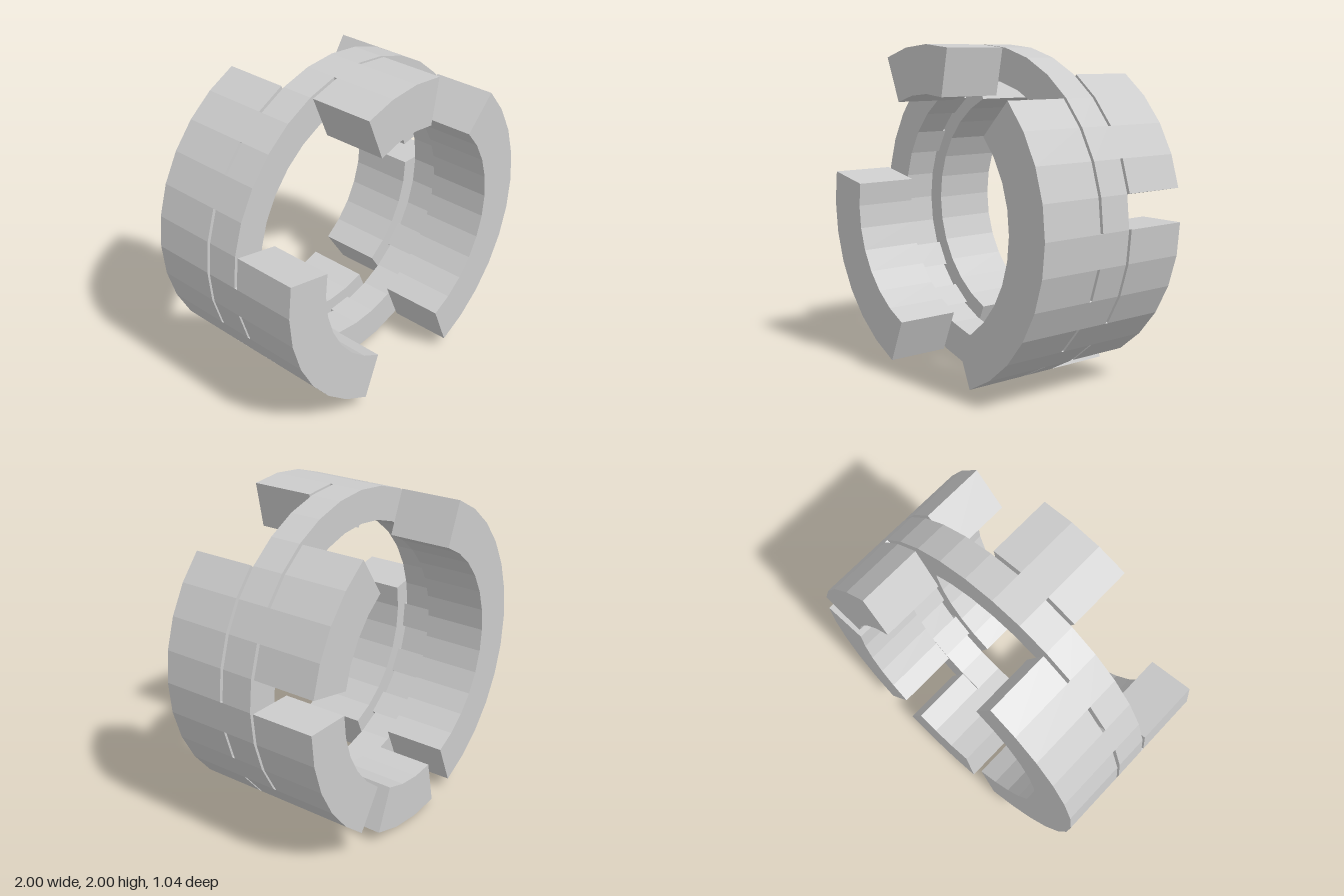
import * as THREE from 'three';

const STEP = Math.PI / 16;            // 32-sided rings
const OUTER = 1, RING_IN = 0.8, BLOCK_IN = 0.72;
const RING_Z = 0.1, GAP_Z = 0.12, BLOCK_Z = 0.52;

// Points along a faceted arc, angles counted in steps from +x
function arc(r, from, to) {
  const pts = [];
  for (let i = from; i <= to; i++) {
    pts.push(new THREE.Vector2(r * Math.cos(i * STEP), r * Math.sin(i * STEP)));
  }
  return pts;
}

function extrude(name, shape, z0, z1, material) {
  const geometry = new THREE.ExtrudeGeometry(shape, { depth: z1 - z0, bevelEnabled: false });
  geometry.translate(0, 1, z0);
  const mesh = new THREE.Mesh(geometry, material);
  mesh.name = name;
  return mesh;
}

// Curved block covering a number of steps
function sector(name, inner, start, count, z0, z1, material) {
  const pts = [...arc(OUTER, start, start + count), ...arc(inner, start, start + count).reverse()];
  return extrude(name, new THREE.Shape(pts), z0, z1, material);
}

// side: 1 front, -1 back; bridges: steps of the block that join it to the ring
const BLOCKS = [
  { name: 'frontTopBlock', side: 1, start: 7, count: 3, bridges: [1] },
  { name: 'frontRightBlock', side: 1, start: 15, count: 7, bridges: [1, 3, 5] },
  { name: 'frontLeftBlock', side: 1, start: 26, count: 10, bridges: [1, 3, 5] },
  { name: 'backUpperLeftBlock', side: -1, start: 1, count: 4, bridges: [1] },
  { name: 'backRightBlock', side: -1, start: 10, count: 12, bridges: [1, 3, 8, 10] },
  { name: 'backBottomBlock', side: -1, start: 23, count: 3, bridges: [1] },
  { name: 'backLowerLeftBlock', side: -1, start: 27, count: 5, bridges: [1] },
];

export function createModel() {
  const group = new THREE.Group();
  group.name = 'segmentedRing';
  const material = new THREE.MeshStandardMaterial({ color: 0xcccccc, flatShading: true });

  // Central ring
  const ring = new THREE.Shape(arc(OUTER, 0, 31));
  ring.holes.push(new THREE.Path(arc(RING_IN, 0, 31)));
  group.add(extrude('centralRing', ring, -RING_Z, RING_Z, material));

  // Side blocks, each held off the ring by thin bridges
  for (const { name, side, start, count, bridges } of BLOCKS) {
    const part = new THREE.Group();
    part.name = name;
    const span = (a, b) => (side > 0 ? [a, b] : [-b, -a]);
    part.add(sector('block', BLOCK_IN, start, count, ...span(GAP_Z, BLOCK_Z), material));
    for (const b of bridges) {
      part.add(sector('bridge', RING_IN, start + b, 1, ...span(RING_Z, GAP_Z), material));
    }
    group.add(part);
  }
  return group;
}
